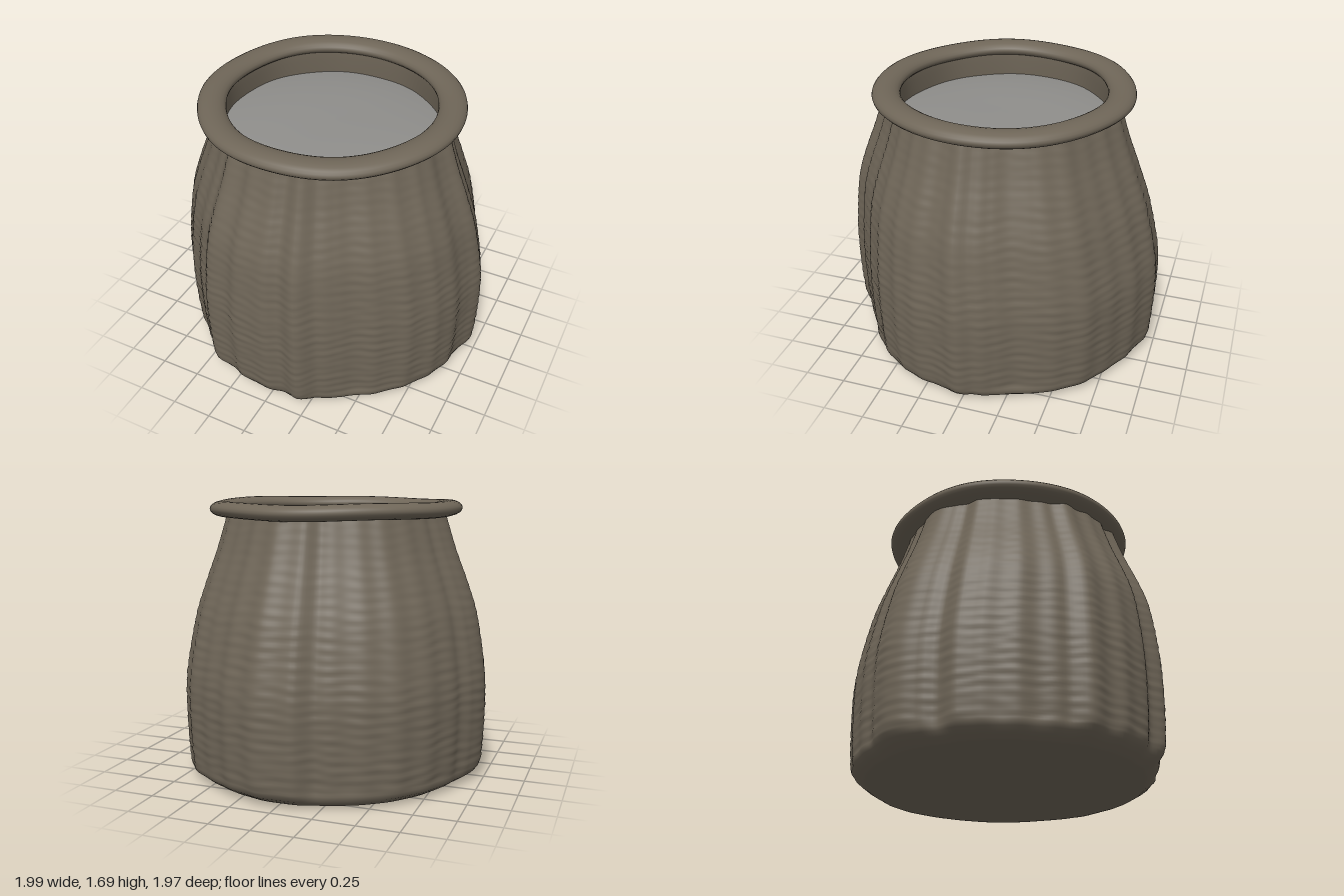
import * as THREE from 'three';
import { mergeVertices } from 'three/addons/utils/BufferGeometryUtils.js';

// Outline of the folded cloth seen from above: [degrees from +x towards +z, radius]
const FOLDS = [
  [0, .995], [7, .963], [12, .955], [18, .968], [24.6, .965], [30, .945], [36, .952], [42, .925],
  [48, .93], [55, .905], [63, .92], [70, .945], [78, 1], [85, .956], [90, .975], [101, .98],
  [106, .966], [115, .99], [124, .94], [131, .93], [140, .94], [153, .95], [159, .97], [166, .92],
  [172, .96], [183, 1], [191, .965], [198, .94], [212, .94], [225, .94], [245, .92], [255, .915],
  [264, .97], [276, .985], [288, .95], [300, .925], [315, .94], [331, .925], [339, .895],
  [347, .93], [354, .957], [360, .995],
];

function foldRadius(angle) {
  const deg = (THREE.MathUtils.radToDeg(angle) + 720) % 360;
  let i = 0;
  while (i < FOLDS.length - 2 && FOLDS[i + 1][0] <= deg) i++;
  const [a, ra] = FOLDS[i], [b, rb] = FOLDS[i + 1];
  return THREE.MathUtils.lerp(ra, rb, THREE.MathUtils.smoothstep(deg, a, b))
    + 0.005 * Math.sin(angle * 29);
}

// Uneven horizontal wrinkles from a few crossing waves
const wrinkles = (a, y) => 0.0016 * (
  Math.sin(y * 112 + 1.3 * Math.sin(a * 5) + 0.8 * Math.sin(a * 13 + y * 9))
  + Math.sin(y * 71 + 1.7 * Math.sin(a * 8 + 2) + y * y * 9)
  * Math.sin(a * 11 + y * 17));

// Weld the seam, move every vertex by a rule and smooth the result
function deform(geometry, rule) {
  geometry.deleteAttribute('uv');
  geometry.deleteAttribute('normal');
  const welded = mergeVertices(geometry, 1e-5);
  const p = welded.attributes.position;
  const v = new THREE.Vector3();
  for (let i = 0; i < p.count; i++) {
    v.fromBufferAttribute(p, i);
    rule(v, Math.atan2(v.z, v.x));
    p.setXYZ(i, v.x, v.y, v.z);
  }
  welded.computeVertexNormals();
  return welded;
}

// Gentle rise and fall of the rolled mouth
const sag = (a) => 0.004 * Math.sin(2 * a + 0.6) + 0.003 * Math.sin(5 * a);
const MOUTH_X = -0.012, MOUTH_Z = 0.033;

export function createModel() {
  const group = new THREE.Group();
  const cloth = new THREE.MeshStandardMaterial({ color: 0x6f6658 });
  cloth.name = 'burlap brown';
  const powder = new THREE.MeshStandardMaterial({ color: 0x8f8e8b });
  powder.name = 'powder grey';

  const add = (name, geometry, material) => {
    const mesh = new THREE.Mesh(geometry, material);
    mesh.name = name;
    group.add(mesh);
  };

  // Sack body with closed base, vertical folds and fine horizontal wrinkles
  const side = new THREE.SplineCurve([
    [.932, .08], [.945, .25], [.95, .5], [.937, .7], [.885, 1], [.822, 1.2], [.748, 1.4], [.68, 1.62],
  ].map(([r, y]) => new THREE.Vector2(r, y)));
  const profile = [[0, 0], [.5, 0], [.83, 0], [.85, .004], [.89, .028], [.922, .052]]
    .map(([r, y]) => new THREE.Vector2(r, y)).concat(side.getSpacedPoints(110));
  add('sackBody', deform(new THREE.LatheGeometry(profile, 300), (v, a) => {
    const up = THREE.MathUtils.smoothstep(v.y, 0, 0.12);
    const fade = 1 - 0.6 * THREE.MathUtils.smoothstep(v.y, 0.6, 1.6);
    const fold = (foldRadius(a) / 0.95 - 1) * (0.25 + 0.75 * up);
    const scale = 1 + fold + wrinkles(a, v.y) * up * fade;
    const shift = THREE.MathUtils.smoothstep(v.y, 0.5, 1.2);
    v.x *= scale;
    v.z = v.z * scale + MOUTH_Z * shift;
  }), cloth);

  // Rolled rim: a flattened, slightly uneven ring
  const ring = new THREE.TorusGeometry(0.702, 0.084, 20, 160).rotateX(-Math.PI / 2);
  add('rolledRim', deform(ring, (v, a) => {
    const wobble = 1 + 0.004 * Math.sin(3 * a + 1) + 0.003 * Math.sin(7 * a);
    v.set(v.x * wobble + MOUTH_X, v.y * 0.56 + 1.636 + sag(a), v.z * wobble + MOUTH_Z);
  }), cloth);

  // Inner wall of the mouth, facing inwards
  const wall = new THREE.LatheGeometry(
    [[.645, 1.64], [.64, 1.56], [.65, 1.42]].map(([r, y]) => new THREE.Vector2(r, y)), 96);
  add('innerWall', deform(wall, (v, a) => {
    const s = 1 + 0.006 * Math.sin(9 * a);
    v.set(v.x * s + MOUTH_X, v.y, v.z * s + MOUTH_Z);
  }), cloth);

  // Filling, heaped slightly towards the middle
  const heap = [];
  for (let i = 0; i <= 16; i++) {
    const t = 1 - i / 16;
    heap.push(new THREE.Vector2(0.655 * t, 1.465 + 0.04 * (1 - t * t * t)));
  }
  add('filling', deform(new THREE.LatheGeometry(heap, 96), (v, a) => {
    v.y += 0.008 * Math.hypot(v.x, v.z) * Math.sin(2 * a + 1);
    v.x += MOUTH_X;
    v.z += MOUTH_Z;
  }), powder);

  return group;
}
